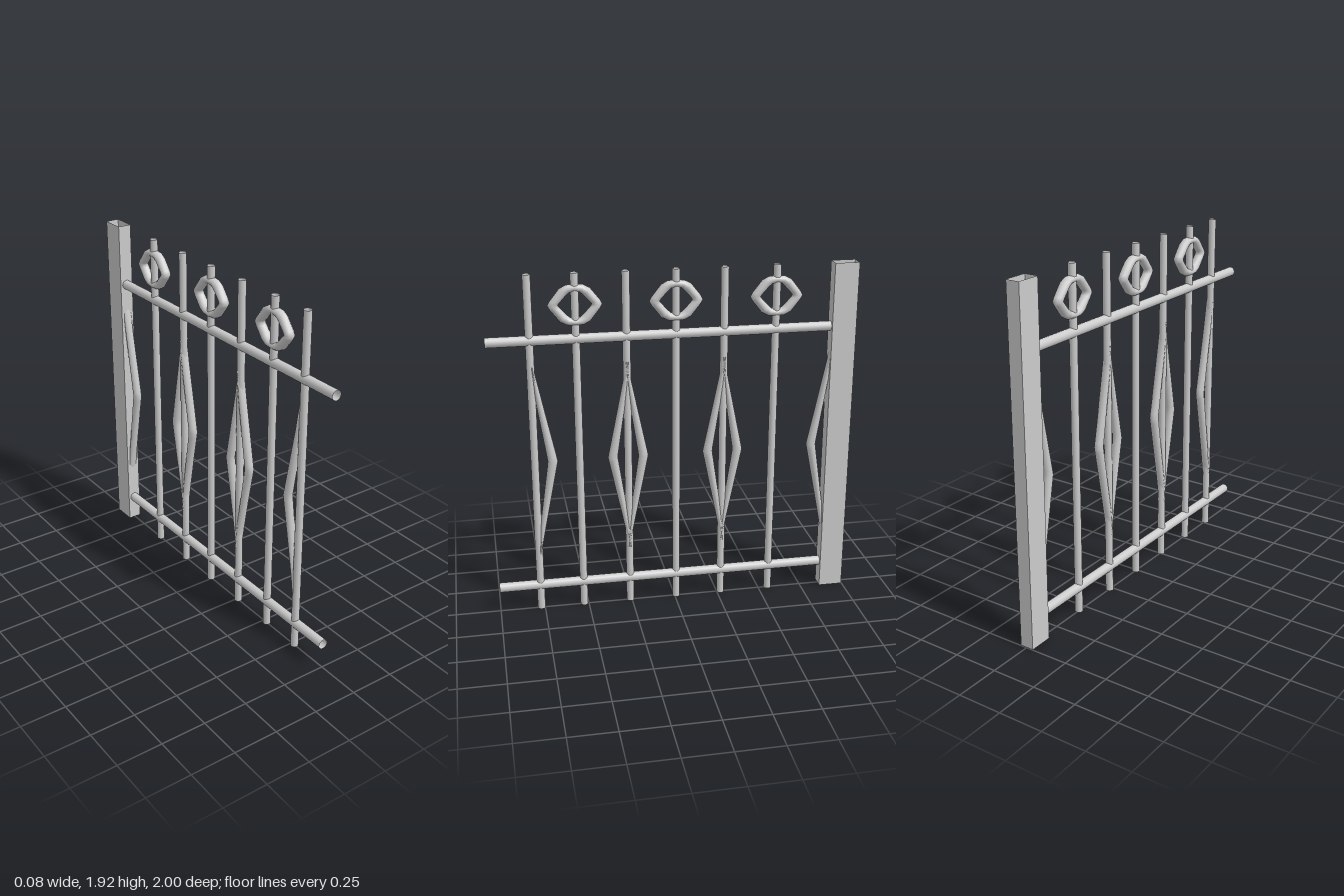
import * as THREE from 'three';

const material = new THREE.MeshStandardMaterial({ color: 0xcccccc, side: THREE.DoubleSide });
const flatMaterial = material.clone();
flatMaterial.flatShading = true;

const HEIGHT = 1.925;

// Sweeps an ellipse spanning each outer/inner pair of [z, y] points, halfX thick in x.
function sweep(outer, inner, halfX, closed) {
  const sides = 12, n = outer.length, positions = [], index = [];
  for (let i = 0; i < n; i++) {
    const [oz, oy] = outer[i], [iz, iy] = inner[i];
    for (let j = 0; j < sides; j++) {
      const a = (j / sides) * Math.PI * 2, c = Math.cos(a) / 2;
      positions.push(halfX * Math.sin(a), (oy + iy) / 2 + (oy - iy) * c, (oz + iz) / 2 + (oz - iz) * c);
    }
  }
  for (let i = 0; i < (closed ? n : n - 1); i++) {
    for (let j = 0; j < sides; j++) {
      const k = (j + 1) % sides, next = (i + 1) % n;
      const a = i * sides + j, b = i * sides + k, c = next * sides + k, d = next * sides + j;
      index.push(a, b, c, a, c, d);
    }
  }
  const geometry = new THREE.BufferGeometry();
  geometry.setAttribute('position', new THREE.Float32BufferAttribute(positions, 3));
  geometry.setIndex(index);
  geometry.computeVertexNormals();
  return geometry;
}

// Mirrors a quarter of [z, y] points into a full loop, starting at +z and turning towards +y.
function loopFromQuarter(q) {
  const half = [...q, ...q.slice(0, -1).reverse().map(([z, y]) => [-z, y])];
  return [...half, ...half.slice(1, -1).reverse().map(([z, y]) => [z, -y])];
}

// Mirrors points running from the middle up into a full bar, bottom to top.
function barFromHalf(h) {
  return [...h.slice(1).reverse().map(([z, y]) => [z, -y]), ...h];
}

export function createModel() {
  const root = new THREE.Group();
  root.name = 'fencePanel';
  const add = (name, geometry, y, z, mat = material) => {
    const mesh = new THREE.Mesh(geometry, mat);
    mesh.name = name;
    mesh.position.set(0, y, z);
    root.add(mesh);
    return mesh;
  };

  // Hollow square end post
  const postGeometry = new THREE.CylinderGeometry(Math.SQRT1_2, Math.SQRT1_2, 1, 4, 1, true);
  postGeometry.rotateY(Math.PI / 4).scale(0.077, HEIGHT, 0.135);
  add('endPost', postGeometry, HEIGHT / 2, -0.93, flatMaterial);

  // Horizontal rails, running into the post
  const railGeometry = new THREE.CylinderGeometry(0.027, 0.027, 1.97, 16, 1, true).rotateX(Math.PI / 2);
  add('lowerRail', railGeometry, 0.147, 0.015);
  add('upperRail', railGeometry, 1.573, 0.015);

  // Upright pickets
  const picketGeometry = new THREE.CylinderGeometry(0.0215, 0.0215, HEIGHT, 16, 1, true);
  for (const z of [0.77, 0.526, 0.259, -0.008, -0.27, -0.554]) {
    add('picket', picketGeometry, HEIGHT / 2, z);
  }

  // Pointed rings around every second picket
  const ringGeometry = sweep(
    loopFromQuarter([[0.144, 0], [0.132, 0.022], [0.08, 0.088], [0.045, 0.106], [0, 0.11]]),
    loopFromQuarter([[0.088, 0], [0.08, 0.012], [0.045, 0.05], [0.027, 0.066], [0, 0.072]]),
    0.027, true);
  for (const z of [0.526, -0.008, -0.554]) add('ring', ringGeometry, 1.754, z);

  // Bent bars: single at both ends, in pairs forming diamonds between
  const barGeometry = sweep(
    barFromHalf([[0.112, 0], [0.106, 0.03], [0.032, 0.39], [0, 0.545]]),
    barFromHalf([[0.057, 0], [0.054, 0.025], [0.0, 0.385], [-0.012, 0.545]]),
    0.024, false);
  const addBar = (z, direction) => {
    const bar = add('bentBar', barGeometry, 0.89, z);
    if (direction > 0) bar.rotation.y = 0;
    else bar.rotation.y = Math.PI;
  };
  addBar(0.757, -1);
  for (const z of [0.259, -0.27]) {
    addBar(z, 1);
    addBar(z, -1);
  }
  addBar(-0.866, 1);

  return root;
}
